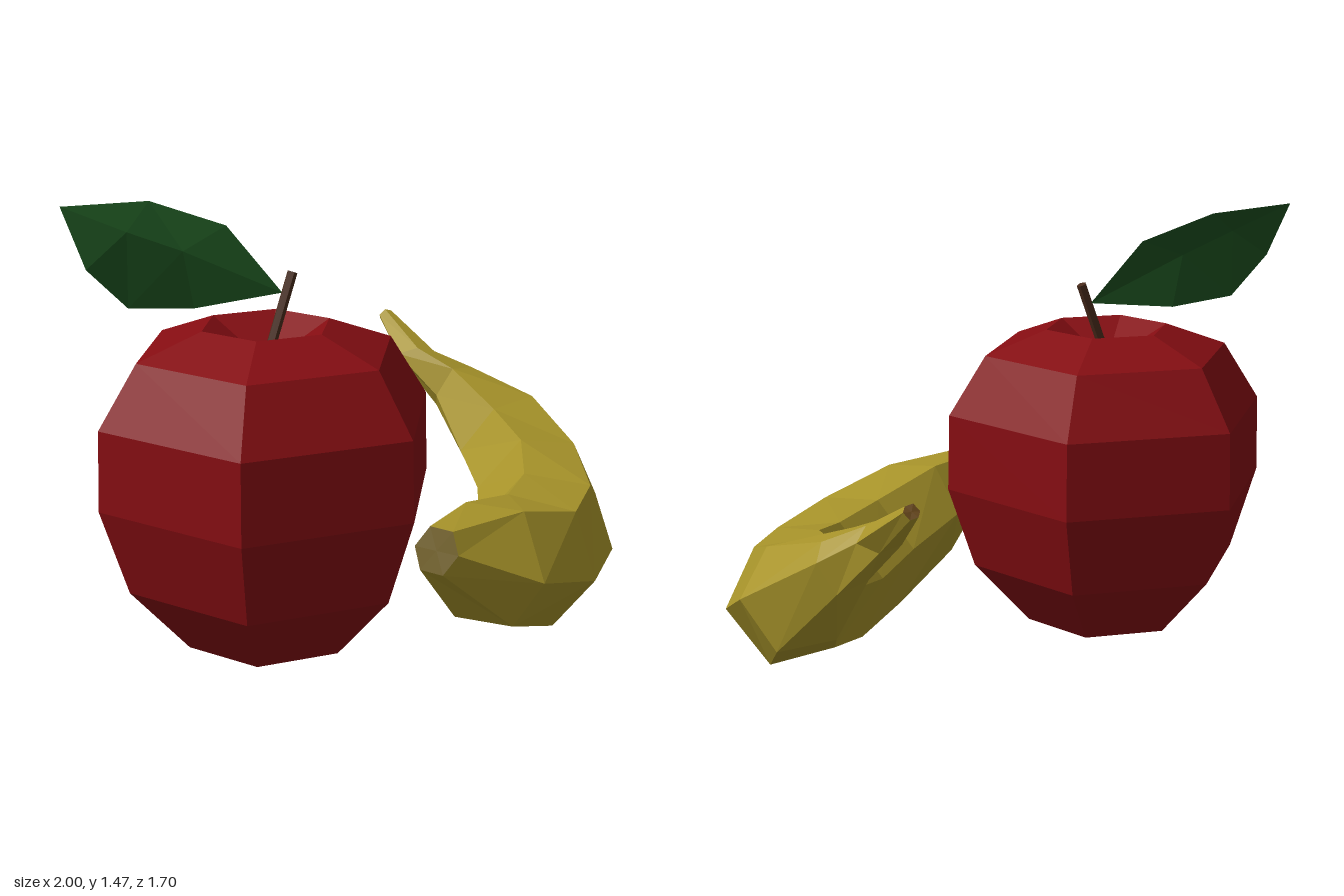
import * as THREE from 'three';

const paint = (color, side = THREE.FrontSide) =>
  new THREE.MeshStandardMaterial({ color, flatShading: true, side });

function part(name, geometry, material) {
  const mesh = new THREE.Mesh(geometry, material);
  mesh.name = name;
  return mesh;
}

// Faceted geometry from a list of [x, y, z] triangle corners
function facets(corners) {
  const geometry = new THREE.BufferGeometry();
  geometry.setAttribute('position', new THREE.Float32BufferAttribute(corners.flat(), 3));
  geometry.computeVertexNormals();
  return geometry;
}

// Six-sided apple body with a dimple on top
function appleBody() {
  const profile = [
    [0, 0.02], [0.275, 0.03], [0.47, 0.245], [0.563, 0.525],
    [0.557, 0.785], [0.43, 0.985], [0.215, 1.065], [0, 0.94],
  ].map(([r, y]) => new THREE.Vector2(r, y));
  return new THREE.LatheGeometry(profile, 6, Math.PI / 2).translate(-0.367, 0, 0.23);
}

// Thin rod between two points
function rod(from, to, radius, sides) {
  const a = new THREE.Vector3(...from), b = new THREE.Vector3(...to);
  const dir = b.clone().sub(a);
  const geometry = new THREE.CylinderGeometry(radius, radius, dir.length(), sides);
  geometry.applyQuaternion(
    new THREE.Quaternion().setFromUnitVectors(new THREE.Vector3(0, 1, 0), dir.normalize()));
  const mid = a.add(b).multiplyScalar(0.5);
  return geometry.translate(mid.x, mid.y, mid.z);
}

// Folded leaf: upper edge, midrib and lower edge between tip and base
function leafBlade() {
  const tip = [-1, 1.475, 0.165], base = [-0.3, 1.155, 0.2];
  const u1 = [-0.7, 1.46, 0.105], u2 = [-0.46, 1.37, 0.135];
  const m1 = [-0.8, 1.385, 0.185], m2 = [-0.62, 1.31, 0.18];
  const l1 = [-0.945, 1.29, 0.23], l2 = [-0.81, 1.155, 0.21], l3 = [-0.59, 1.13, 0.19];
  return facets([
    tip, m1, u1, u1, m1, m2, u1, m2, u2, u2, m2, base,
    tip, l1, m1, l1, l2, m1, m1, l2, m2, l2, l3, m2, l3, base, m2,
  ]);
}

// Banana sections: centre, then three corners; the other three are their opposites
const SECTIONS = [
  [[-0.04, 0.45, 0.78], [-0.04, 0.515, 0.735], [0, 0.515, 0.81], [0, 0.45, 0.848]],
  [[0.2, 0.335, 0.672], [0.165, 0.515, 0.575], [0.31, 0.5, 0.69], [0.3, 0.315, 0.848]],
  [[0.45, 0.25, 0.487], [0.41, 0.455, 0.4], [0.565, 0.428, 0.575], [0.6, 0.21, 0.65]],
  [[0.645, 0.225, 0.24], [0.58, 0.445, 0.2], [0.775, 0.41, 0.31], [0.84, 0.19, 0.36]],
  [[0.778, 0.28, -0.06], [0.686, 0.49, -0.02], [0.9, 0.45, -0.02], [1, 0.25, -0.03]],
  [[0.8, 0.395, -0.365], [0.7, 0.54, -0.25], [0.9, 0.545, -0.33], [1, 0.41, -0.42]],
  [[0.695, 0.55, -0.555], [0.655, 0.635, -0.49], [0.765, 0.615, -0.55], [0.79, 0.565, -0.6]],
  [[0.592, 0.65, -0.645], [0.57, 0.695, -0.61], [0.64, 0.675, -0.615], [0.675, 0.63, -0.64]],
  [[0.547, 0.775, -0.84], [0.54, 0.797, -0.83], [0.565, 0.79, -0.83], [0.573, 0.775, -0.842]],
];

function ring([c, ...corners]) {
  const opposite = corners.map((p) => p.map((v, k) => 2 * c[k] - v));
  return [...corners, ...opposite];
}

function bananaSkin() {
  const rings = SECTIONS.map(ring), out = [];
  for (let s = 0; s < rings.length - 1; s++) {
    for (let i = 0; i < 6; i++) {
      const j = (i + 1) % 6, p = rings[s], q = rings[s + 1];
      out.push(p[i], p[j], q[i], p[j], q[j], q[i]);
    }
  }
  return facets(out);
}

function bananaCap(index, reversed) {
  const corners = ring(SECTIONS[index]), centre = SECTIONS[index][0], out = [];
  for (let i = 0; i < 6; i++) {
    const a = corners[i], b = corners[(i + 1) % 6];
    out.push(centre, ...(reversed ? [b, a] : [a, b]));
  }
  return facets(out);
}

export function createModel() {
  const model = new THREE.Group();
  model.name = 'fruit';

  const yellow = paint(0xa8942a), brown = paint(0x4a2c1c);

  const apple = new THREE.Group();
  apple.name = 'apple';
  apple.add(
    part('appleBody', appleBody(), paint(0x850d12)),
    part('appleStem', rod([-0.375, 0.94, 0.238], [-0.268, 1.22, 0.205], 0.017, 5), brown),
    part('leaf', leafBlade(), paint(0x1d5220, THREE.DoubleSide)),
  );

  const banana = new THREE.Group();
  banana.name = 'banana';
  banana.add(
    part('bananaSkin', bananaSkin(), yellow),
    part('bananaBlossomEnd', bananaCap(0, true), paint(0x6b5a1c)),
    part('bananaStemEnd', bananaCap(SECTIONS.length - 1, false), paint(0x6b4a1c)),
  );

  model.add(apple, banana);
  return model;
}
